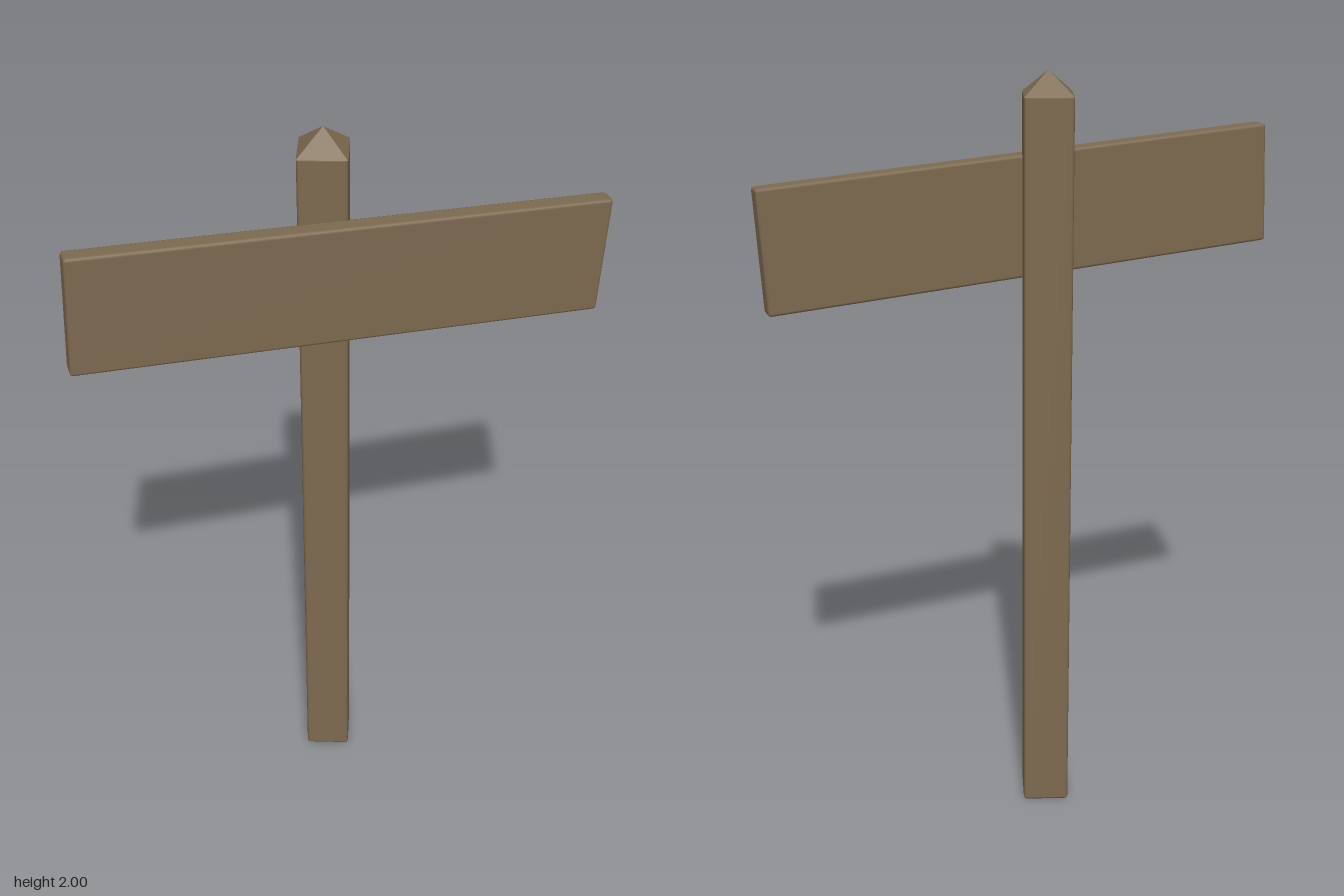
import * as THREE from 'three';
import { RoundedBoxGeometry } from 'three/addons/geometries/RoundedBoxGeometry.js';

const wood = new THREE.MeshStandardMaterial({ color: 0x7d6a50 });

// Timber with softly worn edges
function timber(name, width, height, depth) {
  const mesh = new THREE.Mesh(new RoundedBoxGeometry(width, height, depth, 1, 0.008), wood);
  mesh.name = name;
  return mesh;
}

export function createModel() {
  const model = new THREE.Group();
  model.name = 'signpost';

  const postWidth = 0.122, postHeight = 1.947, peak = 2;

  // Square post with a pyramid-cut top, standing behind the board
  const post = new THREE.Group();
  post.name = 'post';
  post.position.set(-0.055, 0, -0.076);
  const shaft = timber('postShaft', postWidth, postHeight, postWidth);
  shaft.position.y = postHeight / 2;

  const capBase = 1.942;
  const capGeometry = new THREE.ConeGeometry(postWidth / Math.SQRT2, peak - capBase, 4, 1, true)
    .rotateY(Math.PI / 4).toNonIndexed();
  capGeometry.computeVertexNormals();
  const cap = new THREE.Mesh(capGeometry, wood);
  cap.name = 'postPoint';
  cap.position.y = (capBase + peak) / 2;
  post.add(shaft, cap);

  // Blank board, turned on the post and hanging slightly crooked
  const board = timber('signBoard', 1.36, 0.312, 0.05);
  board.position.set(0, 1.631, 0);
  board.rotation.set(0, THREE.MathUtils.degToRad(20), THREE.MathUtils.degToRad(-2.9));

  model.add(post, board);
  return model;
}
